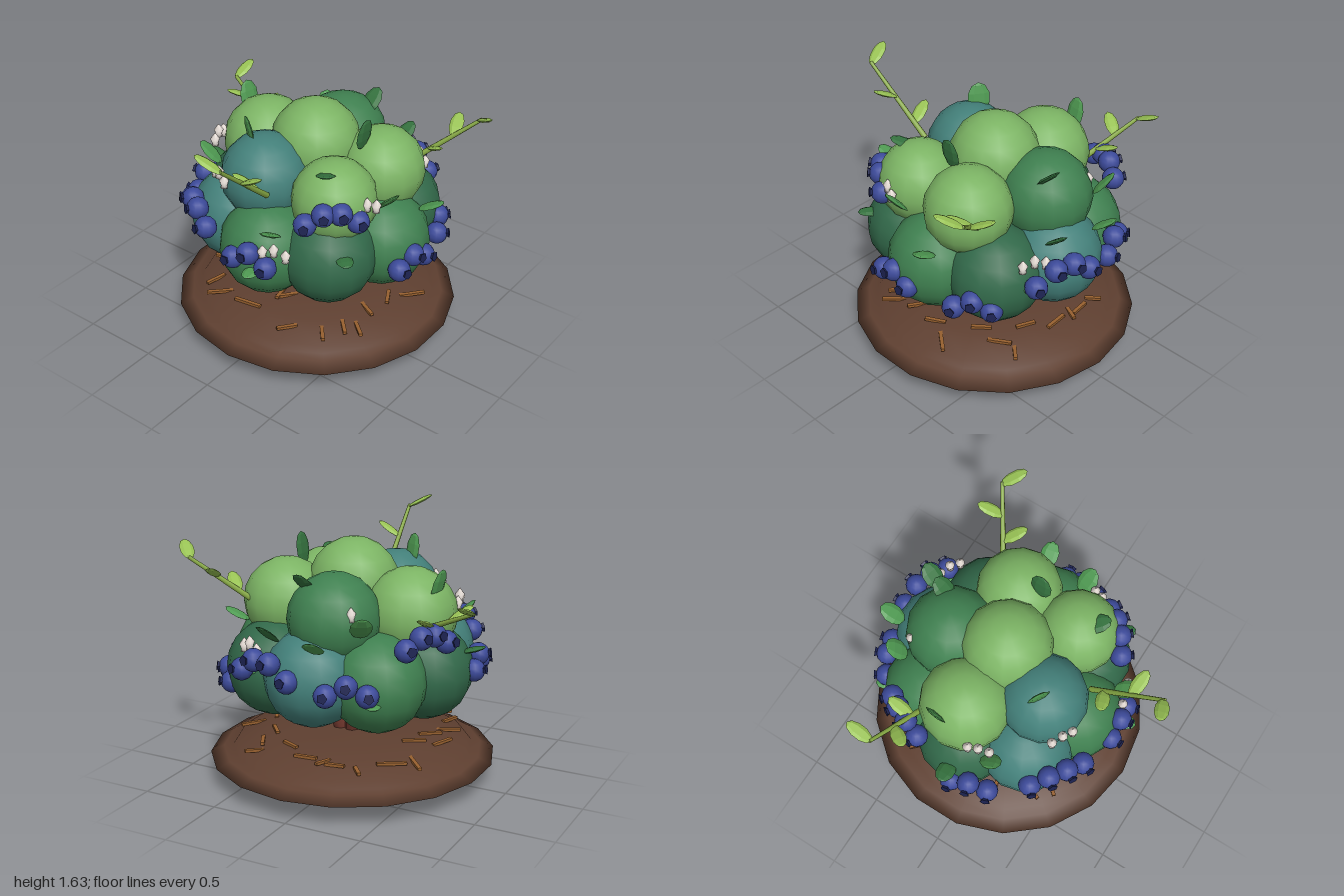
import * as THREE from 'three';

const V = (x, y, z) => new THREE.Vector3(x, y, z);
const UP = V(0, 1, 0);
const rad = THREE.MathUtils.degToRad;
const mat = (color, flatShading = false) => new THREE.MeshStandardMaterial({ color, flatShading });
const lathe = (points, sides) => new THREE.LatheGeometry(points.map(p => new THREE.Vector2(...p)), sides);

const M = {
  soil: mat(0x5e3f30), stem: mat(0x74392f), chip: mat(0x97602f, true),
  light: mat(0x7cb464), green: mat(0x3f8050), dark: mat(0x32694a), teal: mat(0x43807a),
  leaf: mat(0x4f9a52, true), leafDark: mat(0x35733f, true),
  shoot: mat(0x86a843), shootLeaf: mat(0x98c254, true),
  berry: mat(0x3c4a9a), crown: mat(0x1c2250, true), flower: mat(0xe8dfd8),
};
const G = {
  ball: new THREE.SphereGeometry(1, 14, 10),
  berry: new THREE.SphereGeometry(0.071, 12, 8),
  crown: new THREE.CylinderGeometry(0.033, 0.022, 0.024, 5),
  leaf: new THREE.SphereGeometry(0.5, 6, 5),
  bell: lathe([[0, -0.03], [0.024, -0.042], [0.02, -0.026], [0.031, 0.005], [0, 0.047]], 8),
};

// direction and point around the bush axis, degrees from the front towards +x
const outward = (deg) => V(Math.sin(rad(deg)), 0, Math.cos(rad(deg)));
const around = (deg, r, y) => outward(deg).multiplyScalar(r).add(V(0.03, y, -0.085));

export function createModel() {
  const root = new THREE.Group();
  const group = (name) => {
    const g = new THREE.Group();
    g.name = name;
    root.add(g);
    return g;
  };
  const add = (parent, name, geo, material, pos) => {
    const m = new THREE.Mesh(geo, material);
    m.name = name;
    m.position.copy(pos);
    parent.add(m);
    return m;
  };
  // tapered rod between two points
  const rod = (parent, name, a, b, r0, r1, material) => {
    const d = b.clone().sub(a);
    const m = add(parent, name, new THREE.CylinderGeometry(r1, r0, d.length(), 7), material, a.clone().lerp(b, 0.5));
    m.quaternion.setFromUnitVectors(UP, d.normalize());
  };
  // lens-shaped leaf: long axis along dir, flat side towards face
  const leaf = (parent, material, pos, dir, face, len, wid) => {
    const x = dir.clone().cross(face).normalize();
    const m = add(parent, 'leaf', G.leaf, material, pos);
    m.quaternion.setFromRotationMatrix(new THREE.Matrix4().makeBasis(x, dir, x.clone().cross(dir)));
    m.scale.set(wid, len, 0.03);
  };
  // arched row of points around the bush
  const arc = (n, from, to, r, y, lift) => Array.from({ length: n }, (_, i) => {
    const t = i / (n - 1);
    return [from + (to - from) * t, r, y + lift * Math.sin(Math.PI * t)];
  });

  // soil mound with its pointed rim
  add(root, 'soilMound', lathe([[0, 0.005], [0.3, 0.015], [0.55, 0.045], [0.7, 0.095], [0.8, 0.1], [0.915, 0.145],
    [0.83, 0.185], [0.77, 0.195], [0.745, 0.23], [0.56, 0.29], [0.35, 0.32], [0, 0.33]], 18), M.soil, around(0, 0, 0));

  // bark chips scattered over the mound
  let seed = 7;
  const rnd = () => (seed = (seed * 16807) % 2147483647) / 2147483647;
  const chips = group('barkChips');
  for (let i = 0; i < 26; i++) {
    const r = 0.36 + 0.33 * rnd();
    const y = 0.183 + 0.155 * Math.sqrt(1 - (r / 0.8) ** 2);
    const geo = new THREE.BoxGeometry(0.1 + 0.1 * rnd(), 0.018, 0.024);
    add(chips, 'chip', geo, M.chip, around(i * 137.5, r, y)).rotation.set(0, rnd() * 6.28, (rnd() - 0.5) * 0.2);
  }

  // spreading stems
  const stems = group('stems');
  for (let i = 0; i < 7; i++) {
    const a = i * 360 / 7;
    rod(stems, 'stem', around(a, 0.07, 0.28), around(a, 0.29, 0.75), 0.05, 0.036, M.stem);
  }

  // foliage: a ring of eight lower clumps, a core, then the upper clumps
  const foliage = group('foliage');
  const clump = (pos, r, material) => add(foliage, 'foliageClump', G.ball, material, pos).scale.setScalar(r);
  ['green', 'dark', 'green', 'dark', 'teal', 'green', 'dark', 'teal'].forEach((c, i) =>
    clump(around(i * 45, 0.5, c === 'teal' ? 0.79 : 0.765), 0.305, M[c]));
  clump(around(0, 0, 0.88), 0.36, M.dark);
  clump(V(0.02, 1.265, -0.08), 0.285, M.light);
  clump(V(-0.39, 1.125, -0.12), 0.29, M.light);
  clump(V(-0.11, 1.135, 0.26), 0.28, M.teal);
  clump(V(0.38, 1.12, 0.21), 0.265, M.light);
  clump(V(0.41, 1.14, -0.24), 0.275, M.light);
  clump(V(-0.04, 1.125, -0.45), 0.29, M.green);

  // berry rows (count, from, to, radius, height, arch); each berry has a five-sided crown
  const berries = group('berries');
  [
    [3, -3, 14, 0.79, 0.81, 0.07], [4, -48, -22, 0.795, 0.89, 0.08], [4, 31, 57, 0.7, 1.1, 0.08],
    [3, 76, 93, 0.79, 0.72, 0.06], [3, 116, 133, 0.775, 0.68, 0.06], [4, 152, 179, 0.8, 0.845, 0.1],
    [3, 196, 214, 0.78, 0.78, 0.06], [4, 232, 255, 0.755, 1.03, 0.07], [3, 276, 293, 0.8, 0.78, 0.07],
  ].flatMap(row => arc(...row)).forEach(([deg, r, y]) => {
    const out = outward(deg).setY(0.15).normalize();
    const p = around(deg, r, y);
    add(berries, 'berry', G.berry, M.berry, p);
    add(berries, 'berryCrown', G.crown, M.crown, p.clone().addScaledVector(out, 0.069))
      .quaternion.setFromUnitVectors(UP, out);
  });

  // small bell flowers, rows as above
  const flowers = group('flowers');
  [
    [3, -34, -21.5, 0.66, 1.18, 0.03], [3, 12, 23, 0.767, 0.91, 0.03], [3, 281.5, 293, 0.672, 1.18, 0.03],
    [3, 57, 68, 0.675, 1.16, 0.03], [3, 147, 158, 0.745, 0.97, 0.03], [2, 198, 207, 0.594, 1.22, 0],
  ].flatMap(row => arc(...row)).forEach(p => add(flowers, 'bellFlower', G.bell, M.flower, around(...p)));

  // leaves: angle, radius, height, upward tilt
  const leaves = group('leaves');
  [
    [88, 0.36, 1.44, 82], [261, 0.64, 1.34, 75], [-33, 0.44, 1.42, 80], [173, 0.5, 1.36, 45],
    [212, 0.68, 1.16, 50], [191, 0.78, 1.06, 35], [164, 0.72, 1.08, 40], [102, 0.77, 1, 25],
    [75, 0.68, 1.16, 47], [42, 0.555, 1.35, 20], [16, 0.765, 1.04, 30], [294, 0.7, 1.09, 45],
    [49, 0.78, 0.89, 0], [8, 0.81, 0.77, 0], [151, 0.77, 0.81, 0], [274, 0.8, 0.92, 17], [216, 0.78, 0.72, 0],
  ].forEach(([deg, r, y, tilt], i) => {
    const s = Math.sin(rad(tilt)), c = Math.cos(rad(tilt));
    const dir = outward(deg).multiplyScalar(c).setY(s);
    const face = outward(deg).multiplyScalar(-s).setY(c);
    const len = 0.15 + 0.06 * s;
    leaf(leaves, i % 3 ? M.leaf : M.leafDark, around(deg, r, y), dir, face, len, len * 0.7);
  });

  // young shoots with leaves on alternating sides
  const shoot = (name, a, b) => {
    const g = group(name);
    rod(g, 'shootStem', a, b, 0.019, 0.012, M.shoot);
    const along = b.clone().sub(a).normalize();
    const side = UP.clone().cross(along).normalize();
    [0.2, 0.55, 0.98].forEach((t, i) => {
      const dir = side.clone().multiplyScalar(i === 1 ? 1 : -1).addScaledVector(along, 0.3).addScaledVector(UP, 0.35).normalize();
      leaf(g, M.shootLeaf, a.clone().lerp(b, t).addScaledVector(dir, 0.085), dir, UP, 0.19, 0.09);
    });
  };
  shoot('frontShoot', V(0.08, 1.17, 0.48), V(0.12, 1.56, 0.93));
  shoot('rightShoot', V(0.55, 1.18, -0.45), V(0.86, 1.45, -0.65));
  shoot('leftShoot', V(-0.56, 1.1, -0.33), V(-0.93, 1.27, -0.44));

  return root;
}
